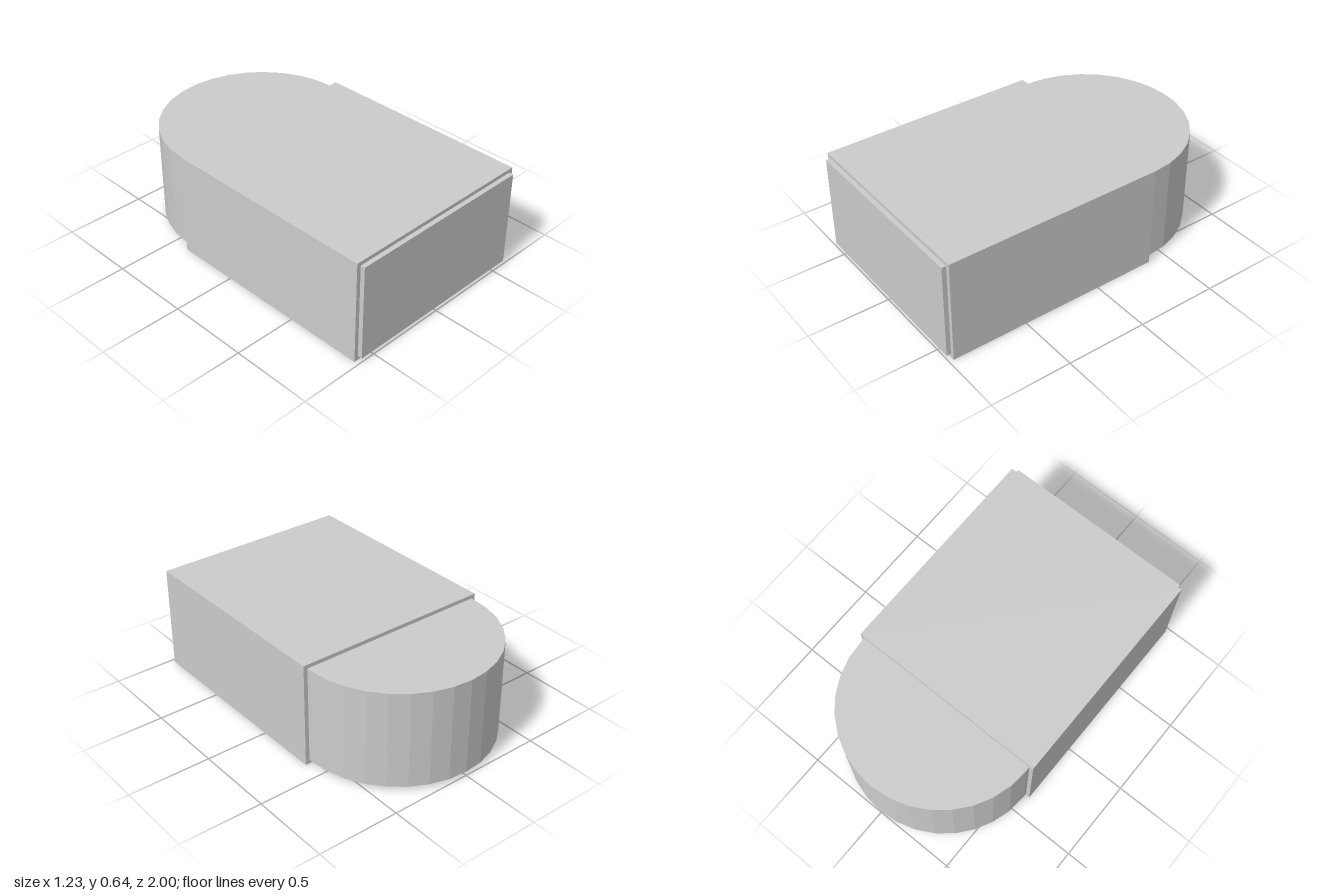
import * as THREE from 'three';

export function createModel() {
  const group = new THREE.Group();
  group.name = 'model';
  const material = new THREE.MeshStandardMaterial({ color: 0xcccccc, flatShading: true });

  const add = (name, geometry, x, y, z) => {
    const mesh = new THREE.Mesh(geometry, material);
    mesh.name = name;
    mesh.position.set(x, y, z);
    group.add(mesh);
    return mesh;
  };

  // Outer sleeve, slightly larger than the core on all four sides
  add('sleeve', new THREE.BoxGeometry(1.234, 0.64, 1.355), 0, 0.32, 0.295);

  // Core: flat at the front, half-round at the back (shape y points to -z)
  const r = 0.592, arcCentre = 0.408, sides = 16;
  const outline = new THREE.Shape();
  outline.moveTo(-r, -1);
  outline.lineTo(r, -1);
  for (let i = 0; i <= sides; i++) {
    const a = (i / sides) * Math.PI;
    outline.lineTo(r * Math.cos(a), arcCentre + r * Math.sin(a));
  }
  outline.closePath();
  const coreGeometry = new THREE.ExtrudeGeometry(outline, { depth: 0.592, bevelEnabled: false });
  coreGeometry.rotateX(-Math.PI / 2);
  add('roundedCore', coreGeometry, 0, 0.025, 0);

  return group;
}
